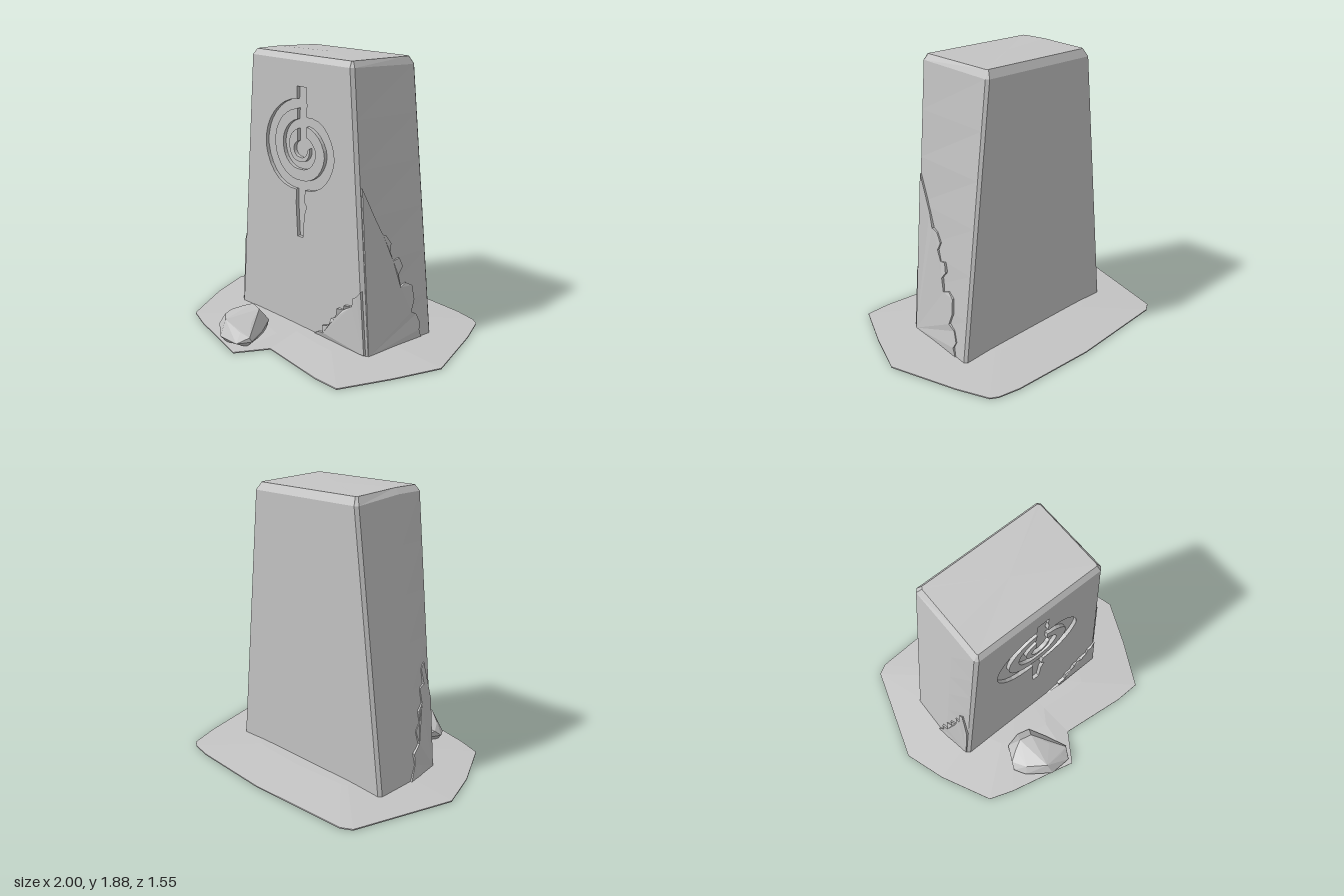
import * as THREE from 'three';
import { ConvexGeometry } from 'three/addons/geometries/ConvexGeometry.js';

const FRONT = 0.235;
const GROOVE = 0.025;
const CENTRE = [0, 1.27];
const lerp = THREE.MathUtils.lerp;
const V2 = (p) => new THREE.Vector2(p[0], p[1]);

// Faceted geometry from a list of triangle corners
function facets(corners) {
  const g = new THREE.BufferGeometry();
  g.setAttribute('position', new THREE.Float32BufferAttribute(corners.flat(), 3));
  g.computeVertexNormals();
  return g;
}

// Points along a spiral whose radius follows [degrees, radius] keys
function arc(keys, steps) {
  const pts = [];
  const a0 = keys[0][0], a1 = keys[keys.length - 1][0];
  for (let i = 0; i <= steps; i++) {
    const a = lerp(a0, a1, i / steps);
    let k = 0;
    while (k < keys.length - 2 && Math.abs(a - a0) > Math.abs(keys[k + 1][0] - a0)) k++;
    const [p, q] = [keys[k], keys[k + 1]];
    const r = lerp(p[1], q[1], (a - p[0]) / (q[0] - p[0]));
    const t = THREE.MathUtils.degToRad(a);
    pts.push([CENTRE[0] + r * Math.cos(t), CENTRE[1] + r * Math.sin(t)]);
  }
  return pts;
}

// Slab sides and top, lofted through chamfered rings; the front is left open
function slabBody() {
  const base = [[-.62, .235], [.575, .235], [.60, .215], [.665, -.325], [.65, -.345],
    [-.66, -.345], [-.68, -.325], [-.685, .02], [-.64, .215]];
  const top = [[-.44, .235], [.435, .235], [.455, .215], [.455, -.325], [.44, -.345],
    [-.44, -.345], [-.46, -.325], [-.46, .02], [-.46, .215]];
  const cap = [[-.425, .21], [.425, .21], [.43, .2], [.43, -.3], [.42, -.315],
    [-.42, -.315], [-.43, -.3], [-.43, .02], [-.43, .2]];
  const n = base.length, levels = 6, rings = [];
  for (let l = 0; l <= levels; l++) {
    const t = l / levels;
    rings.push(base.map((b, i) => [lerp(b[0], top[i][0], t),
      t * (top[i][1] < -.3 ? 1.81 : 1.84), lerp(b[1], top[i][1], t)]));
  }
  rings.push(cap.map(([x, z]) => [x, z < -.2 ? 1.86 : 1.877, z]));
  const out = [];
  for (let l = 0; l < rings.length - 1; l++) {
    for (let i = 0; i < n; i++) {
      if (i === 0 && l < levels) continue;
      const j = (i + 1) % n, a = rings[l], b = rings[l + 1];
      out.push(a[i], a[j], b[j], a[i], b[j], b[i]);
    }
  }
  const last = rings[rings.length - 1];
  for (let i = 0; i < n; i++) out.push([0, 1.872, -.05], last[i], last[(i + 1) % n]);
  return facets(out);
}

// Clockwise outline of the carved symbol
function carvingOutline() {
  return [
    [-.02, 1.68], [.065, 1.68], [.06, 1.61], [.07, 1.57], [.06, 1.52],
    ...arc([[73, .23], [45, .28], [0, .31], [-45, .29], [-80, .265]], 14),
    [.035, .93], [.06, .9], [.035, .84], [.03, .78], [.02, .68], [-.03, .68], [-.04, .9],
    ...arc([[262, .27], [225, .31], [180, .33], [135, .325], [94, .33]], 15),
  ];
}

// Raised ridge left standing between two turns of the groove
function ridge(outer, inner) {
  const pts = [...arc(outer, 28), ...arc(inner, 28).reverse()];
  return new THREE.ExtrudeGeometry(new THREE.Shape(pts.map(V2)),
    { depth: GROOVE, bevelEnabled: false }).translate(0, 0, FRONT - GROOVE);
}

// Rough crust: a jagged outline wrapped on a face, uneven in thickness
function crust(outline, place, thickness) {
  const g = new THREE.ExtrudeGeometry(new THREE.Shape(outline.map(V2)),
    { depth: 1, bevelEnabled: false });
  const p = g.attributes.position;
  for (let i = 0; i < p.count; i++) {
    const u = p.getX(i), v = p.getY(i);
    const bump = 0.65 + 0.35 * Math.sin(u * 71 + v * 47);
    p.setXYZ(i, ...place(u, v, p.getZ(i) > .5 ? thickness * bump : -.01));
  }
  g.computeVertexNormals();
  return g;
}

// Side faces of the slab as x for a given height and depth
const rightX = (y, z) => lerp(.60 + (.215 - z) * .12, .455, y / 1.84);
const leftX = (y, z) => lerp(z > .02 ? -.64 - (.215 - z) * .23 : -.685, -.46, y / 1.84);

// Low mound with a notched rim and a flat underside
function mound() {
  const rim = [[-1, -.04], [-.9, .25], [-.72, .6], [-.55, .66], [-.21, .74], [-.07, .775],
    [.06, .57], [.53, .62], [.71, .615], [.87, .29], [1, -.02], [.87, -.48], [.79, -.69],
    [.74, -.72], [.59, -.75], [0, -.78], [-.72, -.74], [-.79, -.7]];
  const ring = (s, y) => rim.map(([x, z]) => [x * s, y, z * s]);
  const bottom = ring(1, 0), edge = ring(1, .008), inner = ring(.55, .03), out = [];
  rim.forEach((_, i) => {
    const j = (i + 1) % rim.length;
    for (const [a, b] of [[bottom, edge], [edge, inner]]) {
      out.push(a[i], a[j], b[j], a[i], b[j], b[i]);
    }
    out.push([0, .035, 0], inner[i], inner[j], [0, 0, 0], bottom[j], bottom[i]);
  });
  return facets(out);
}

export function createModel() {
  const model = new THREE.Group();
  const stone = new THREE.MeshStandardMaterial({ color: 0xc4c4c4 });
  stone.name = 'grey stone';
  const add = (name, geometry, parent = model) => {
    const m = new THREE.Mesh(geometry, stone);
    m.name = name;
    parent.add(m);
  };

  add('groundMound', mound());

  // Standing stone
  const slab = new THREE.Group();
  slab.name = 'standingStone';
  model.add(slab);
  add('slabBody', slabBody(), slab);

  // Front face with the symbol cut out, then the groove's floor and walls
  const outline = carvingOutline();
  const face = new THREE.Shape([[-.62, 0], [.575, 0], [.435, 1.84], [-.44, 1.84]].map(V2));
  face.holes.push(new THREE.Path(outline.map(V2)));
  add('frontFace', new THREE.ShapeGeometry(face).translate(0, 0, FRONT), slab);
  add('grooveFloor', new THREE.ShapeGeometry(new THREE.Shape(outline.map(V2)))
    .translate(0, 0, FRONT - GROOVE), slab);
  const walls = [];
  outline.forEach((p, i) => {
    const q = outline[(i + 1) % outline.length], back = FRONT - GROOVE;
    walls.push([...p, back], [...q, back], [...q, FRONT], [...p, back], [...q, FRONT], [...p, FRONT]);
  });
  add('grooveWalls', facets(walls), slab);

  // Spiral ridges inside the groove
  add('outerRidge', ridge(
    [[94, .27], [180, .235], [270, .2], [360, .225], [428, .173]],
    [[96, .2], [180, .155], [270, .125], [360, .145], [414, .11]]), slab);
  add('innerRidge', ridge(
    [[98, .14], [180, .095], [270, .075], [330, .085], [375, .09]],
    [[110, .06], [180, .055], [270, .045], [330, .06], [365, .07]]), slab);

  // Crumbling crust around the lower corners
  add('frontCrust', crust([[.13, .03], [.585, .03], [.55, .46], [.52, .42], [.49, .4], [.48, .34],
    [.42, .33], [.4, .29], [.36, .29], [.34, .22], [.29, .19], [.28, .14], [.22, .12], [.23, .07],
    [.18, .06]], (u, v, w) => [u, v, FRONT + w], .024), slab);
  add('rightCrust', crust([[-.215, .02], [.24, .02], [.22, .08], [.24, .12], [.21, .19], [.16, .22],
    [.19, .3], [.18, .4], [.13, .43], [.08, .41], [.06, .5], [.1, .55], [.08, .61], [.03, .6],
    [0, .67], [.02, .72], [-.02, .78], [-.06, .8], [-.1, .89], [-.21, 1.12]],
  (u, v, w) => [rightX(v, -u) + w, v, -u], .018), slab);
  add('leftCrust', crust([[-.06, .02], [.215, .02], [.215, .5], [.16, .76], [.13, .72], [.14, .62],
    [.1, .6], [.11, .5], [.06, .46], [.07, .38], [.02, .34], [.04, .25], [-.02, .2], [-.01, .12]],
  (u, v, w) => [leftX(v, u) - w, v, u], .016), slab);

  // Loose boulder
  const boulder = [[-.45, .06, .55], [-.43, .1, .5], [-.37, .06, .38], [-.26, .06, .355],
    [-.17, .07, .38], [-.1, .05, .5], [-.03, .05, .65], [-.04, .08, .66], [-.08, .05, .74],
    [-.24, .05, .745], [-.4, .05, .63], [-.35, .14, .45], [-.29, .165, .42], [-.2, .16, .44],
    [-.13, .125, .57], [-.11, .1, .68], [-.25, .15, .69], [-.37, .12, .6], [-.4, .005, .56],
    [-.3, .005, .4], [-.14, .005, .45], [-.07, .005, .66], [-.22, .005, .71]];
  add('boulder', new ConvexGeometry(boulder.map((p) => new THREE.Vector3(...p))));

  return model;
}
